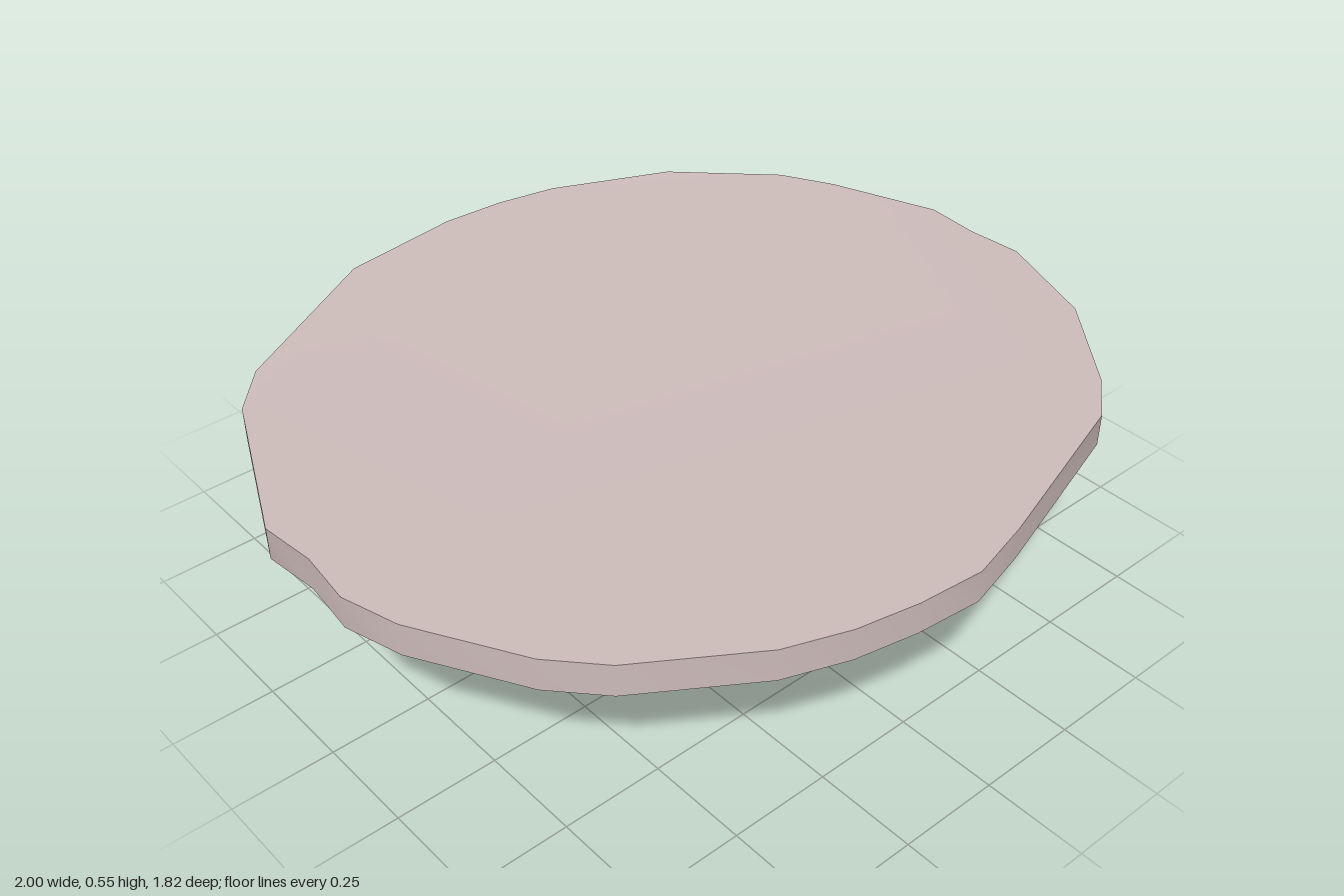
import * as THREE from 'three';
import { toCreasedNormals } from 'three/addons/utils/BufferGeometryUtils.js';

// Irregular rim of the top, as [x, z] corners
const RIM = [
  [0, -0.91], [0.16, -0.9], [0.31, -0.87], [0.6, -0.74], [0.83, -0.54], [0.9, -0.41],
  [1, -0.14], [0.99, 0], [1, 0.14], [0.9, 0.41], [0.71, 0.64], [0.6, 0.73], [0.16, 0.87],
  [0, 0.91], [-0.16, 0.895], [-0.31, 0.865], [-0.46, 0.81], [-0.72, 0.64], [-0.82, 0.53],
  [-0.96, 0.28], [-1, 0.14], [-0.985, 0], [-1, -0.14], [-0.82, -0.54], [-0.72, -0.65],
  [-0.31, -0.87],
];

// Move every vertex by a rule
function reshape(geometry, rule) {
  const pos = geometry.attributes.position;
  const v = new THREE.Vector3();
  for (let i = 0; i < pos.count; i++) {
    rule(v.fromBufferAttribute(pos, i));
    pos.setXYZ(i, v.x, v.y, v.z);
  }
  return toCreasedNormals(geometry, 0.7);
}

export function createModel() {
  const group = new THREE.Group();
  const material = new THREE.MeshStandardMaterial({ color: 0xcbbab8 });
  const add = (name, geometry) => {
    const mesh = new THREE.Mesh(geometry, material);
    mesh.name = name;
    group.add(mesh);
  };

  // Thin slab, very slightly warped at the back
  const slab = new THREE.ExtrudeGeometry(
    new THREE.Shape(RIM.map(([x, z]) => new THREE.Vector2(x, z))),
    { depth: 0.08, bevelEnabled: false },
  );
  slab.rotateX(Math.PI / 2).translate(0, 0.54, 0);
  add('tableTop', reshape(slab, (v) => {
    if (v.y > 0.5 && v.z < -0.7) v.y += 0.01;
    if (v.y < 0.5 && v.z < -0.5 && v.x < -0.6) v.y -= 0.008;
  }));

  // Oval pedestal, deeper front to back towards the top, with a small shoulder
  const column = new THREE.CylinderGeometry(1, 1, 0.47, 32, 8);
  column.translate(0, 0.235, 0);
  add('pedestal', reshape(column, (v) => {
    const shoulder = THREE.MathUtils.smoothstep(v.y, 0.28, 0.4);
    v.x *= v.x > 0 ? 0.293 + 0.008 * shoulder : 0.308 - 0.006 * shoulder;
    v.z *= 0.243 + 0.028 * (v.y / 0.47);
  }));

  return group;
}
